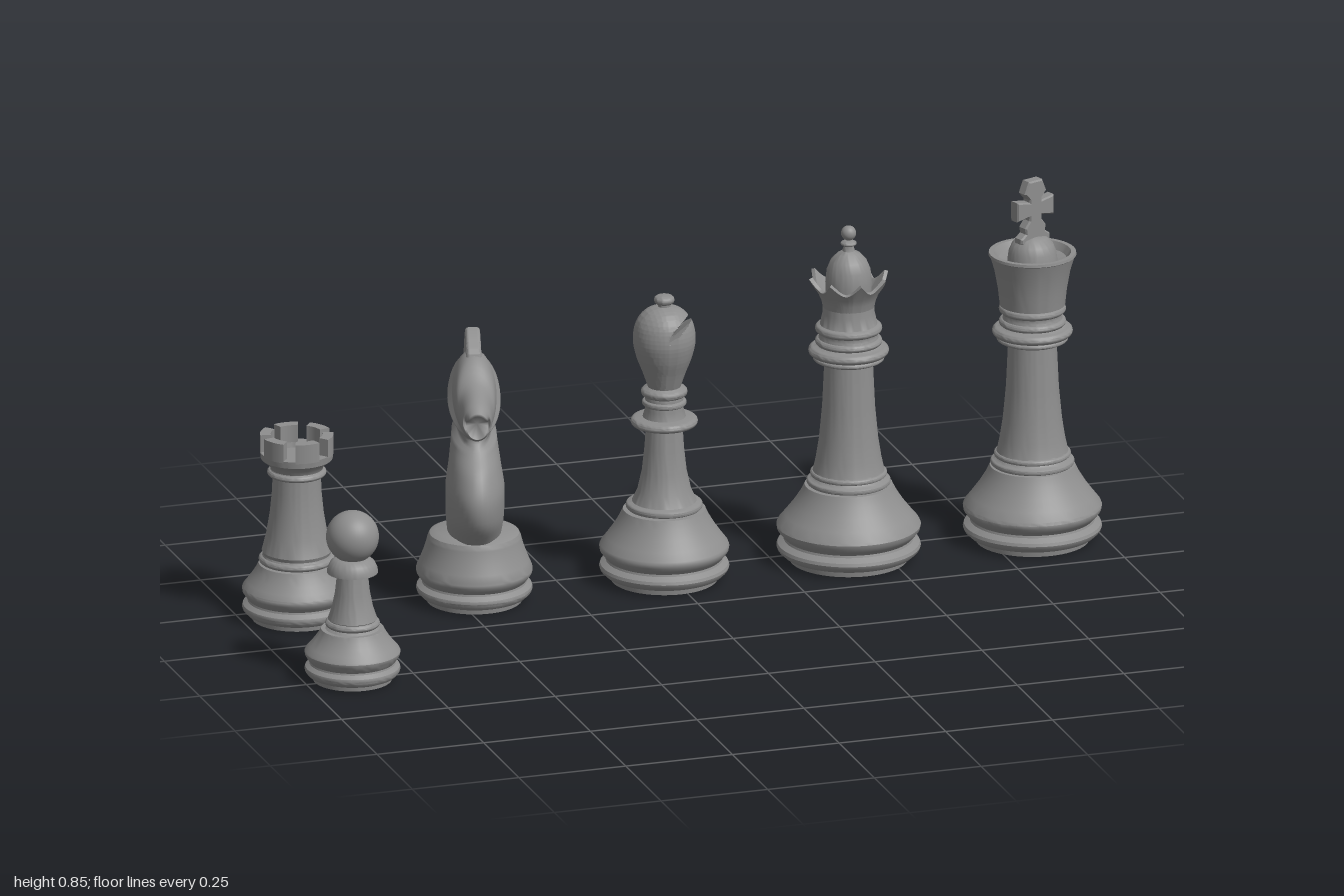
import * as THREE from 'three';
import { toCreasedNormals } from 'three/addons/utils/BufferGeometryUtils.js';

const material = new THREE.MeshStandardMaterial({ color: 0x8e8e8e, side: THREE.DoubleSide });

function add(parent, name, geometry, y = 0) {
  const mesh = new THREE.Mesh(geometry, material);
  mesh.name = name;
  mesh.position.y = y;
  parent.add(mesh);
  return mesh;
}

// Lathe from [radius, y] points; [radius, y, h] is a rounded bead of half height h
function lathe(profile, segments = 56) {
  const pts = [];
  for (const [r, y, h] of profile) {
    if (!h) pts.push(new THREE.Vector2(r, y));
    else for (let i = 0; i <= 6; i++) {
      const a = -Math.PI / 2 + (Math.PI * i) / 6;
      pts.push(new THREE.Vector2(r - h + h * Math.cos(a), y + h * Math.sin(a)));
    }
  }
  return new THREE.LatheGeometry(pts, segments);
}
const turned = (profile) => toCreasedNormals(lathe(profile), 0.6);

// Moves every vertex of a geometry by a rule
function warp(geometry, rule) {
  const p = geometry.attributes.position, v = new THREE.Vector3();
  for (let i = 0; i < p.count; i++) {
    rule(v.fromBufferAttribute(p, i));
    p.setXYZ(i, v.x, v.y, v.z);
  }
  return toCreasedNormals(geometry, 0.6);
}

// Grooved foot with a bell above it, shared by all pieces
function foot(R, top, rTop, hollow) {
  const k = Math.sqrt(R / 0.16), wide = 0.082 * k;
  const up = (f, g) => [rTop + (R - rTop) * f, wide + (top - wide) * g];
  return [
    hollow ? [R * 0.8, 0.05] : [0, 0], [R * 0.82, 0], [R * 0.83, 0.011 * k], [R * 0.92, 0.016 * k],
    [R * 0.985, 0.026 * k], [R, 0.033 * k], [R * 0.985, 0.04 * k], [R * 0.9, 0.049 * k],
    [R * 0.89, 0.054 * k], [R * 0.94, 0.063 * k], [R * 0.99, 0.073 * k], [R, wide], up(0.95, 0.07),
    up(0.7, 0.27), up(0.4, 0.53), up(0.17, 0.77), up(0.04, 0.94), [rTop, top],
  ];
}

function piece(root, name, x, z) {
  const g = new THREE.Group();
  g.name = name;
  g.position.set(x, 0, z);
  root.add(g);
  return g;
}

function pawn(root) {
  const g = piece(root, 'pawn', -0.89, 0.244);
  add(g, 'pawnBody', turned([...foot(0.107, 0.12, 0.07), [0.06, 0.12], [0.061, 0.133, 0.008],
    [0.055, 0.143], [0.046, 0.17], [0.039, 0.205], [0.034, 0.252], [0.057, 0.252], [0.056, 0.262],
    [0.05, 0.275], [0.04, 0.284], [0.03, 0.286], [0.03, 0.3], [0, 0.3]]));
  add(g, 'pawnHead', new THREE.SphereGeometry(0.059, 40, 28), 0.335);
}

function rook(root) {
  const g = piece(root, 'rook', -0.876, -0.193);
  add(g, 'rookBody', turned([...foot(0.122, 0.13, 0.085), [0.085, 0.14, 0.008], [0.075, 0.152],
    [0.078, 0.16], [0.068, 0.2], [0.06, 0.25], [0.055, 0.3], [0.054, 0.335], [0.066, 0.343, 0.007],
    [0.058, 0.352], [0.062, 0.362], [0.08, 0.376], [0.082, 0.392], [0.058, 0.392], [0.056, 0.38],
    [0, 0.38]]));
  // Six battlements around the rim
  for (let i = 0; i < 6; i++) {
    const a = (i * Math.PI) / 3 + 0.17, b = a + Math.PI / 3 - 0.34;
    const s = new THREE.Shape();
    s.absarc(0, 0, 0.082, a, b, false);
    s.absarc(0, 0, 0.058, b, a, true);
    const geo = new THREE.ExtrudeGeometry(s, { depth: 0.044, bevelEnabled: false, curveSegments: 10 });
    add(g, 'battlement', geo.rotateX(-Math.PI / 2), 0.388);
  }
}

function knight(root) {
  const g = piece(root, 'knight', -0.462, -0.187);
  g.rotation.y = -0.27;
  add(g, 'knightBase', turned([...foot(0.13, 0.15, 0.104, true), [0.1, 0.158], [0.085, 0.165], [0, 0.165]]));

  // Sections from chest to muzzle: front z, y; back z, y; half width
  const sections = [
    [0.1, 0.16, -0.11, 0.16, 0.06], [0.146, 0.215, -0.105, 0.21, 0.065], [0.156, 0.27, -0.095, 0.27, 0.066],
    [0.132, 0.325, -0.095, 0.335, 0.058], [0.085, 0.372, -0.115, 0.41, 0.05], [0.068, 0.396, -0.12, 0.49, 0.05],
    [0.074, 0.402, -0.08, 0.56, 0.05], [0.096, 0.404, -0.01, 0.565, 0.045], [0.115, 0.41, 0.05, 0.522, 0.038],
    [0.134, 0.417, 0.12, 0.502, 0.032], [0.147, 0.425, 0.156, 0.482, 0.024],
  ];
  const curve = (f) => new THREE.CatmullRomCurve3(sections.map(f));
  const front = curve((s) => new THREE.Vector3(0, s[1], s[0]));
  const back = curve((s) => new THREE.Vector3(0, s[3], s[2]));
  const width = curve((s) => new THREE.Vector3(s[4], 0, 0));
  const rows = 50, n = 36, pos = [], idx = [];
  for (let r = 0; r <= rows; r++) {
    const t = r / rows, F = front.getPoint(t), B = back.getPoint(t), w = width.getPoint(t).x;
    const mouth = 0.036 * THREE.MathUtils.smoothstep(t, 0.9, 1);
    for (let i = 0; i < n; i++) {
      const a = (i / n) * Math.PI * 2, m = (1 + Math.cos(a)) / 2, s = Math.sin(a);
      const p = F.clone().lerp(B, m);
      pos.push(s * w, p.y, p.z - mouth * Math.abs(s) ** 10);
      const c = r * n + i, d = r * n + ((i + 1) % n);
      if (r < rows) idx.push(c, c + n, d, d, c + n, d + n);
      else idx.push(c, (rows + 1) * n, d);
    }
  }
  pos.push(0, 0.453, 0.117);
  const body = new THREE.BufferGeometry();
  body.setAttribute('position', new THREE.Float32BufferAttribute(pos, 3));
  body.setIndex(idx);
  body.computeVertexNormals();
  add(g, 'horseBody', body);

  // Thin mane running down the back of the neck
  const V = (p) => new THREE.Vector2(p[0], p[1]);
  const s = new THREE.Shape();
  s.moveTo(-0.153, 0.184);
  s.splineThru([[-0.122, 0.245], [-0.117, 0.29], [-0.137, 0.365], [-0.156, 0.445], [-0.155, 0.49],
    [-0.125, 0.555], [-0.083, 0.602]].map(V));
  s.lineTo(-0.045, 0.585);
  s.splineThru([[-0.02, 0.555], [-0.05, 0.48], [-0.07, 0.4], [-0.07, 0.28], [-0.1, 0.19]].map(V));
  const mane = new THREE.ExtrudeGeometry(s, {
    depth: 0.018, bevelThickness: 0.008, bevelSize: 0.007, bevelSegments: 3, curveSegments: 40,
  });
  mane.translate(0, 0, -0.009).rotateY(-Math.PI / 2);
  add(g, 'mane', toCreasedNormals(mane, 0.7));
}

function bishop(root) {
  const g = piece(root, 'bishop', -0.016, -0.19);
  add(g, 'bishopBody', turned([...foot(0.145, 0.165, 0.092), [0.086, 0.174, 0.008], [0.072, 0.184],
    [0.06, 0.21], [0.05, 0.255], [0.044, 0.31], [0.041, 0.36], [0.075, 0.371, 0.009], [0.048, 0.382],
    [0.043, 0.4], [0.05, 0.415, 0.007], [0.043, 0.424], [0.052, 0.44, 0.01], [0.04, 0.452], [0, 0.46]]));
  // Mitre with a slanted slot cut into one side
  const head = new THREE.SplineCurve([[0.036, 0.45], [0.048, 0.485], [0.063, 0.525], [0.07, 0.565],
    [0.062, 0.605], [0.038, 0.632], [0, 0.643]].map((p) => new THREE.Vector2(...p)));
  const mitre = new THREE.LatheGeometry(head.getPoints(110), 96);
  add(g, 'mitre', warp(mitre, (v) => {
    const depth = v.x * 0.9 + v.z * 0.43 - 0.02;
    if (depth > 0 && Math.abs(v.y - 0.578 - depth) < 0.009) v.set(v.x - 0.9 * depth, v.y - depth, v.z - 0.43 * depth);
  }));
  add(g, 'finial', turned([[0.014, 0.635], [0.014, 0.645], [0.023, 0.655, 0.01], [0, 0.667]]));
}

// Foot, column and collar shared by queen and king
const column = (R, rTop) => [...foot(R, 0.176, rTop), [0.094, 0.184, 0.007], [0.083, 0.193],
  [0.086, 0.203, 0.006], [0.079, 0.212], [0.073, 0.24], [0.066, 0.285], [0.059, 0.36], [0.054, 0.467],
  [0.072, 0.467], [0.08, 0.474, 0.005], [0.09, 0.491, 0.01], [0.072, 0.502], [0.075, 0.513, 0.008],
  [0.065, 0.525], [0.075, 0.543, 0.009]];

function queen(root) {
  const g = piece(root, 'queen', 0.416, -0.19);
  add(g, 'queenBody', turned([...column(0.161, 0.098), [0.064, 0.553], [0.058, 0.58], [0.058, 0.61], [0, 0.62]]));
  // Coronet with eight outward points
  const cup = lathe([[0.057, 0.59], [0.061, 0.61], [0.068, 0.626], [0.078, 0.64], [0.071, 0.643],
    [0.058, 0.628], [0.046, 0.614]], 128);
  add(g, 'coronet', warp(cup, (v) => {
    const peak = 1 - Math.abs(Math.sin(4 * Math.atan2(v.z, v.x)));
    if (v.y > 0.63) {
      const k = 1 + 0.19 * peak;
      v.set(v.x * k, v.y + 0.026 * peak, v.z * k);
    }
  }));
  add(g, 'dome', turned([[0.05, 0.61], [0.052, 0.65], [0.049, 0.68], [0.04, 0.702], [0.026, 0.717],
    [0.014, 0.724], [0.011, 0.735], [0.018, 0.741, 0.004], [0.01, 0.748], [0, 0.75]]));
  add(g, 'finial', new THREE.SphereGeometry(0.017, 24, 16), 0.765);
}

function king(root) {
  const g = piece(root, 'king', 0.846, -0.188);
  add(g, 'kingBody', turned([...column(0.155, 0.095), [0.073, 0.553], [0.077, 0.59], [0.085, 0.635],
    [0.095, 0.668], [0.098, 0.67], [0.097, 0.676], [0.086, 0.676], [0.076, 0.66], [0.056, 0.655],
    [0.053, 0.678], [0.046, 0.695], [0.032, 0.709], [0, 0.716]]));
  // Flared cross
  const half = [[0.02, 0.69], [0.038, 0.704], [0.038, 0.712], [0.024, 0.722], [0.026, 0.736], [0.014, 0.752],
    [0.014, 0.766], [0.049, 0.76], [0.049, 0.799], [0.014, 0.793], [0.014, 0.803], [0.027, 0.818], [0.017, 0.842]];
  const outline = [...half, ...half.map(([x, y]) => [-x, y]).reverse()];
  const shape = new THREE.Shape(outline.map((p) => new THREE.Vector2(...p)));
  const cross = new THREE.ExtrudeGeometry(shape, {
    depth: 0.02, bevelThickness: 0.004, bevelSize: 0.003, bevelSegments: 1,
  });
  add(g, 'cross', cross.translate(0, 0, -0.01)).rotation.y = 0.35;
}

export function createModel() {
  const root = new THREE.Group();
  root.name = 'chessSet';
  for (const build of [pawn, rook, knight, bishop, queen, king]) build(root);
  return root;
}
